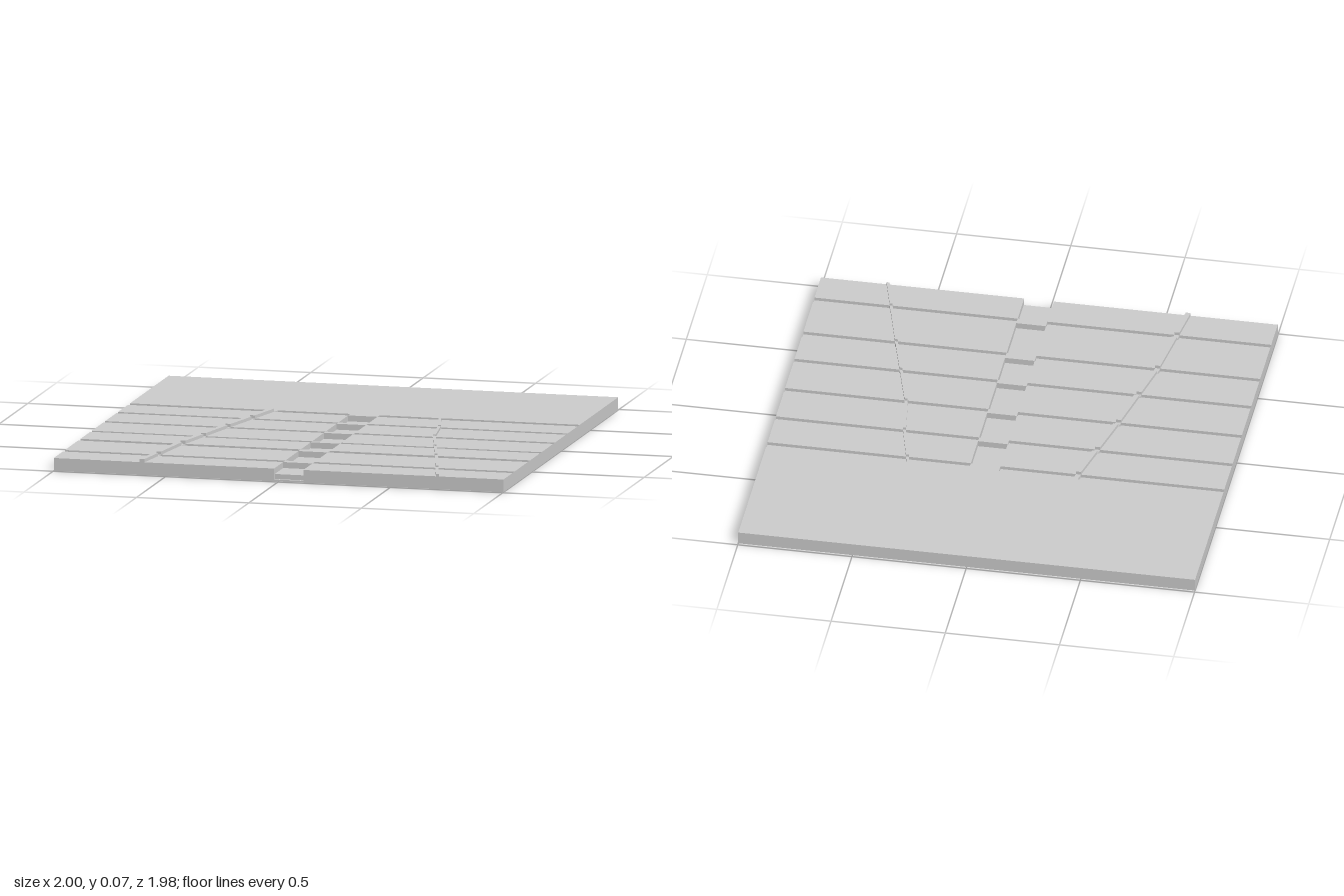
import * as THREE from 'three';

const TOP = 0.056, GROOVE = 0.042, CHANNEL = 0.03, LIP = 0.008, HALF_Z = 0.988;
// cross grooves as [back z, front z]
const GROOVES = [[-0.325, -0.288], [-0.117, -0.088], [0.102, 0.132], [0.333, 0.358], [0.528, 0.568], [0.797, 0.832]];
const CHANNEL_X = [-0.02, 0.11];

export function createModel() {
  const group = new THREE.Group();
  const mat = new THREE.MeshStandardMaterial({ color: 0xcccccc, flatShading: true });
  const add = (geo, name) => {
    const mesh = new THREE.Mesh(geo, mat);
    mesh.name = name;
    group.add(mesh);
    return mesh;
  };

  // slab piece: side profile given as top steps [z, y], extruded from x0 to x1
  const slabPiece = (steps, x0, x1, name) => {
    const pts = [[-HALF_Z, 0], ...steps, [HALF_Z, 0]].map(([z, y]) => new THREE.Vector2(z, y));
    const geo = new THREE.ExtrudeGeometry(new THREE.Shape(pts), { depth: x1 - x0, bevelEnabled: false });
    geo.rotateY(-Math.PI / 2).translate(x1, 0, 0);
    add(geo, name);
  };

  // grooved ground on both sides of the channel
  const grooved = [[-HALF_Z, TOP]];
  for (const [a, b] of GROOVES) grooved.push([a, TOP], [a, GROOVE], [b, GROOVE], [b, TOP]);
  grooved.push([HALF_Z, TOP]);
  slabPiece(grooved, -1, CHANNEL_X[0], 'rightGround');
  slabPiece(grooved, CHANNEL_X[1], 1, 'leftGround');

  // sunken channel with a cross bar at every groove and a low front lip
  const sunken = [[-HALF_Z, TOP]];
  GROOVES.forEach(([a, b], i) => {
    if (i) sunken.push([a, CHANNEL], [a, TOP]);
    sunken.push([b, TOP], [b, CHANNEL]);
  });
  sunken.push([0.976, CHANNEL], [0.976, LIP], [HALF_Z, LIP]);
  slabPiece(sunken, ...CHANNEL_X, 'channel');

  // thin outer side walls closing the groove ends
  for (const s of [-1, 1]) {
    const wall = new THREE.PlaneGeometry(2 * HALF_Z, TOP);
    wall.rotateY(s * Math.PI / 2).translate(s, TOP / 2, 0);
    add(wall, s > 0 ? 'leftSideWall' : 'rightSideWall');
  }

  // diagonal rails: raised between grooves, flush with the ground inside them
  const rail = (path, width, height, name) => {
    const xAt = (z) => {
      let i = 1;
      while (i < path.length - 1 && z > path[i][1]) i++;
      const [x0, z0] = path[i - 1], [x1, z1] = path[i];
      return x0 + (x1 - x0) * (z - z0) / (z1 - z0);
    };
    const piece = (z0, z1, top) => {
      const h = top - CHANNEL;
      const geo = new THREE.BoxGeometry(width, h, z1 - z0);
      geo.translate(0, CHANNEL + h / 2, (z0 + z1) / 2);
      const p = geo.attributes.position;
      for (let i = 0; i < p.count; i++) p.setX(i, p.getX(i) + xAt(p.getZ(i)));
      geo.computeVertexNormals();
      add(geo, name);
    };
    GROOVES.forEach(([a, b], i) => {
      piece(a, b, TOP);
      piece(b, i < GROOVES.length - 1 ? GROOVES[i + 1][0] : HALF_Z, height);
    });
  };
  rail([[-0.353, -0.325], [-0.455, 0.11], [-0.549, 0.55], [-0.608, HALF_Z]], 0.022, 0.07, 'rightRail');
  rail([[0.378, -0.325], [0.435, -0.1], [0.465, 0.11], [0.588, 0.55], [0.706, HALF_Z]], 0.013, 0.067, 'leftRail');

  return group;
}
